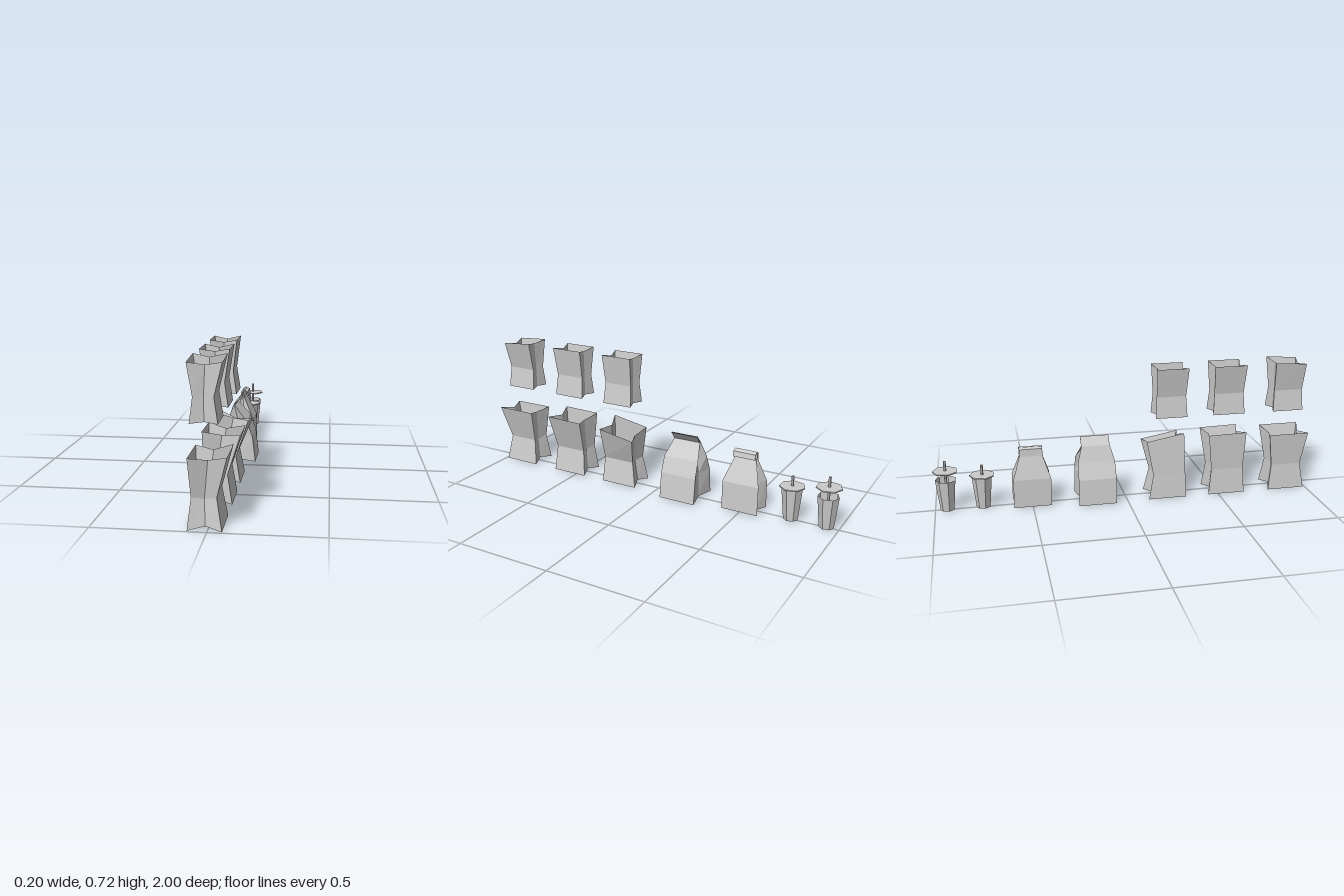
import * as THREE from 'three';

const mat = new THREE.MeshStandardMaterial({ color: 0xcccccc, flatShading: true, side: THREE.DoubleSide });

// A ring has four corners plus a pleat point on the front and back.
// [y, xLow, xHigh, zBack, zFront, pleat depth, pleat lift, rise of low-x side, drop at back]
function ringPoints([y, xl, xh, zb, zf, inset = 0, lift = 0, rise = 0, drop = 0]) {
  const xm = (xl + xh) / 2;
  return [
    [xl, y + rise, zf], [xm, y + lift, zf - inset], [xh, y, zf],
    [xh, y - drop, zb], [xm, y + lift - drop, zb + inset], [xl, y + rise - drop, zb],
  ];
}

// Paper bag lofted through its rings, with a creased floor and an open top
function paperBag(name, rings) {
  const pos = rings.flatMap(r => ringPoints(r).flat());
  const index = [];
  for (let r = 0; r < rings.length - 1; r++) {
    for (let i = 0; i < 6; i++) {
      const a = r * 6 + i, b = r * 6 + (i + 1) % 6;
      index.push(a, b, b + 6, a, b + 6, a + 6);
    }
  }
  index.push(0, 5, 4, 0, 4, 1, 1, 4, 3, 1, 3, 2);
  const geo = new THREE.BufferGeometry();
  geo.setAttribute('position', new THREE.Float32BufferAttribute(pos, 3));
  geo.setIndex(index);
  const flat = geo.toNonIndexed();
  flat.computeVertexNormals();
  const mesh = new THREE.Mesh(flat, mat);
  mesh.name = name;
  return mesh;
}

function cylinder(name, rTop, rBottom, y0, y1, sides, open = false) {
  const geo = new THREE.CylinderGeometry(rTop, rBottom, y1 - y0, sides, 1, open);
  geo.rotateY(Math.PI);
  geo.translate(0, (y0 + y1) / 2, 0);
  const mesh = new THREE.Mesh(geo, mat);
  mesh.name = name;
  return mesh;
}

// Seven-sided cup with a lid and a straw
function drinkCup(name, z, bodyTop, lidY, strawTop) {
  const cup = new THREE.Group();
  cup.name = name;
  const floor = new THREE.Mesh(new THREE.CircleGeometry(0.037, 7), mat);
  floor.name = 'cupFloor';
  floor.rotation.set(Math.PI / 2, 0, Math.PI / 2 + Math.PI);
  floor.position.y = 0.005;
  cup.add(
    cylinder('cupBody', 0.054, 0.037, 0.005, bodyTop, 7, true),
    floor,
    cylinder('lid', 0.065, 0.065, lidY - 0.003, lidY + 0.003, 7),
    cylinder('straw', 0.007, 0.007, 0.1, strawTop, 6),
  );
  cup.position.z = z;
  return cup;
}

export function createModel() {
  const model = new THREE.Group();
  model.name = 'takeawaySet';

  // Large open bags standing on the ground
  model.add(
    paperBag('largeOpenBagFront', [
      [0.002, -0.085, 0.062, 0.785, 0.99, 0.025, 0.014],
      [0.14, -0.07, 0.038, 0.802, 0.967, 0.018, -0.01],
      [0.323, -0.08, 0.085, 0.78, 1.0, 0.028, -0.02, -0.008],
    ]),
    paperBag('largeOpenBagMiddle', [
      [0.002, -0.085, 0.062, 0.445, 0.645, 0.025, 0.014],
      [0.14, -0.07, 0.04, 0.46, 0.637, 0.018, -0.01],
      [0.33, -0.075, 0.1, 0.44, 0.648, 0.028, -0.01, 0.01, 0.005],
    ]),
    paperBag('largeOpenBagRear', [
      [0.002, -0.085, 0.062, 0.115, 0.32, 0.025, 0.014],
      [0.135, -0.07, 0.04, 0.14, 0.315, 0.018, -0.01],
      [0.318, -0.055, 0.1, 0.107, 0.308, 0.028, 0.005, 0.034, 0.036],
    ]),
  );

  // Smaller open bags in the raised row
  const smallBags = [
    ['smallOpenBagFront', 0.79, 0.957, 0.062, 0.705, -0.012],
    ['smallOpenBagMiddle', 0.458, 0.63, 0.05, 0.713, 0],
    ['smallOpenBagRear', 0.148, 0.317, 0.045, 0.713, 0],
  ];
  for (const [name, zb, zf, topX, topY, drop] of smallBags) {
    model.add(paperBag(name, [
      [0.449, -0.077, 0.043, zb, zf, 0.018, 0.005],
      [0.56, -0.063, 0.026, zb + 0.006, zf - 0.006, 0.014],
      [topY, -0.086, topX, zb, zf + 0.002, 0.02, -0.014, -0.002, drop],
    ]));
  }

  // Closed bag with a leaning top strip
  model.add(paperBag('pinchedBag', [
    [0.003, -0.1, 0.1, -0.262, -0.062, 0.02, 0.008],
    [0.14, -0.086, 0.084, -0.262, -0.062, 0.024],
    [0.225, -0.05, 0.052, -0.26, -0.064, 0.035],
    [0.305, -0.024, -0.014, -0.237, -0.087, 0.01],
    [0.347, 0.012, 0.02, -0.237, -0.087],
  ]));

  // Closed bag with its top folded over
  model.add(paperBag('foldedBag', [
    [0.005, -0.06, 0.06, -0.598, -0.402, 0.025, 0.006],
    [0.155, -0.056, 0.056, -0.598, -0.402, 0.028],
    [0.272, -0.022, 0.002, -0.56, -0.44, 0.012],
    [0.31, -0.02, -0.008, -0.56, -0.44],
    [0.32, -0.008, 0.002, -0.56, -0.44],
    [0.312, 0.014, 0.018, -0.56, -0.44],
    [0.285, 0.02, 0.024, -0.56, -0.44],
  ]));

  // Cups, one with its lid seated and one with its lid raised
  model.add(
    drinkCup('lowCup', -0.753, 0.177, 0.18, 0.235),
    drinkCup('tallCup', -0.937, 0.17, 0.215, 0.27),
  );
  return model;
}
